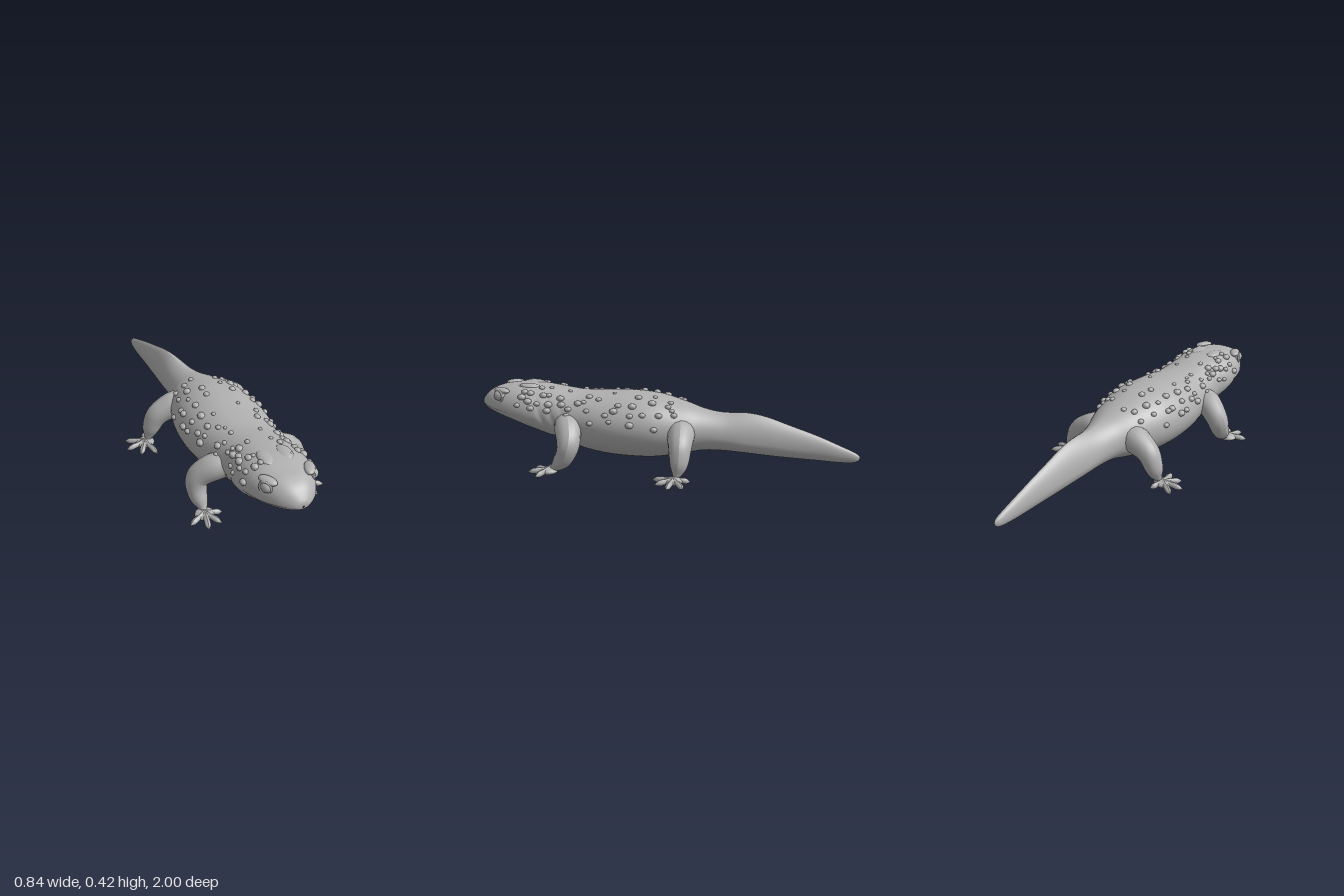
import * as THREE from 'three';
import { mergeGeometries } from 'three/addons/utils/BufferGeometryUtils.js';

// Body cross-sections, snout to tail tip: z, bottom, top, half width, widest height, upper roundness
const ROWS = [
  [1.0, 0.297, 0.306, 0.004, 0.301, 1],
  [0.992, 0.283, 0.33, 0.04, 0.3, 0.9],
  [0.95, 0.262, 0.37, 0.09, 0.296, 0.8],
  [0.9, 0.245, 0.392, 0.125, 0.291, 0.72],
  [0.84, 0.225, 0.403, 0.155, 0.286, 0.7],
  [0.76, 0.197, 0.413, 0.177, 0.282, 0.75],
  [0.68, 0.168, 0.41, 0.181, 0.275, 0.8],
  [0.58, 0.13, 0.4, 0.172, 0.26, 0.85],
  [0.46, 0.088, 0.385, 0.187, 0.24, 0.9],
  [0.32, 0.062, 0.388, 0.213, 0.23, 0.92],
  [0.18, 0.053, 0.393, 0.221, 0.225, 0.95],
  [0.04, 0.056, 0.383, 0.205, 0.22, 0.97],
  [-0.1, 0.08, 0.348, 0.158, 0.21, 1],
  [-0.2, 0.1, 0.318, 0.115, 0.2, 1.1],
  [-0.3, 0.102, 0.303, 0.092, 0.185, 1.3],
  [-0.42, 0.094, 0.305, 0.077, 0.165, 1.5],
  [-0.52, 0.085, 0.288, 0.064, 0.155, 1.5],
  [-0.64, 0.077, 0.248, 0.049, 0.14, 1.4],
  [-0.78, 0.07, 0.2, 0.034, 0.125, 1.3],
  [-0.9, 0.065, 0.152, 0.024, 0.105, 1.1],
  [-0.975, 0.07, 0.12, 0.015, 0.095, 1],
  [-1.0, 0.09, 0.1, 0.002, 0.095, 1],
];

// Smooth interpolation of one column through a list of numbers
function spline(values, u) {
  const n = values.length - 1;
  const i = Math.min(n - 1, Math.floor(u * n));
  const t = u * n - i;
  const [a, b, c, d] = [-1, 0, 1, 2].map((k) => values[Math.max(0, Math.min(n, i + k))]);
  return b + 0.5 * t * (c - a + t * (2 * a - 5 * b + 4 * c - d + t * (3 * (b - c) + d - a)));
}
const columns = [0, 1, 2, 3, 4, 5].map((c) => ROWS.map((r) => r[c]));

// Point on the skin; angle 0 is the left side, 90 degrees the back
function skinPoint(u, angle) {
  const [z, bottom, top, half, mid, power] = columns.map((c) => spline(c, u));
  const c = Math.cos(angle), s = Math.sin(angle);
  const upper = s > -1e-6;
  let x = Math.sign(c) * half * Math.pow(Math.abs(c), upper ? power : 0.95);
  let y = mid + s * (upper ? top - mid : mid - bottom);
  // the lower jaw sits inside the upper lip
  if (!upper && z > 0.72) x *= 1 - 0.07 * Math.min(1, (z - 0.72) / 0.1);
  // skin folds around the throat and belly
  let fold = 0;
  for (const f of [0.63, 0.57, 0.5]) fold += Math.exp(-(((z - f - 0.05 * s) / 0.014) ** 2));
  const k = 1 - 0.03 * fold * (1 - Math.max(0, s));
  x *= k;
  y = mid + (y - mid) * k;
  // the tail bends slightly to the right
  if (z < -0.2) x -= 0.02 * Math.min(1, (-0.2 - z) / 0.6);
  return new THREE.Vector3(x, y, z);
}

function bodyGeometry(rings = 190, sides = 48) {
  const pos = [], index = [];
  for (let i = 0; i <= rings; i++)
    for (let j = 0; j < sides; j++) pos.push(...skinPoint(i / rings, (j / sides) * Math.PI * 2).toArray());
  for (let i = 0; i < rings; i++)
    for (let j = 0; j < sides; j++) {
      const a = i * sides + j, b = i * sides + ((j + 1) % sides);
      index.push(a, a + sides, b, b, a + sides, b + sides);
    }
  const g = new THREE.BufferGeometry();
  g.setAttribute('position', new THREE.Float32BufferAttribute(pos, 3));
  g.setIndex(index);
  g.computeVertexNormals();
  return g;
}

// Tube along points whose radius follows a list; a zero radius closes the end
function limbGeometry(points, radii, steps = 28, sides = 16) {
  const curve = new THREE.CatmullRomCurve3(points.map((p) => new THREE.Vector3(...p)));
  const g = new THREE.TubeGeometry(curve, steps, 1, sides, false);
  const pos = g.attributes.position, v = new THREE.Vector3();
  for (let i = 0; i <= steps; i++) {
    const centre = curve.getPointAt(i / steps);
    const r = Math.max(0.0005, spline(radii, i / steps));
    for (let j = 0; j <= sides; j++) {
      const n = i * (sides + 1) + j;
      v.fromBufferAttribute(pos, n).sub(centre).multiplyScalar(r).add(centre);
      pos.setXYZ(n, v.x, Math.max(0, v.y), v.z);
    }
  }
  g.computeVertexNormals();
  return g;
}

function ball(x, y, z, sx, sy, sz, detail = 16) {
  return new THREE.SphereGeometry(1, detail, detail / 2 + 2).scale(sx, sy, sz).translate(x, y, z);
}

export function createModel() {
  const model = new THREE.Group();
  const skin = new THREE.MeshStandardMaterial({ color: 0xb0b0b0 });
  skin.name = 'grey skin';
  const add = (name, geometry, parent = model) => {
    const m = new THREE.Mesh(geometry, skin);
    m.name = name;
    parent.add(m);
  };

  add('body', bodyGeometry());

  // Legs with flat palms and spread toes
  const legs = {
    front: {
      path: [[0.12, 0.24, 0.51], [0.2, 0.215, 0.475], [0.262, 0.16, 0.455], [0.272, 0.095, 0.475], [0.268, 0.045, 0.52], [0.27, 0.018, 0.56]],
      radii: [0.06, 0.068, 0.062, 0.053, 0.04, 0.008],
      palm: [0.272, 0.557],
      toes: [[0.185, 0.572], [0.222, 0.647], [0.297, 0.663], [0.367, 0.6]],
    },
    hind: {
      path: [[0.06, 0.22, -0.09], [0.15, 0.205, -0.105], [0.225, 0.165, -0.115], [0.262, 0.1, -0.118], [0.282, 0.05, -0.112], [0.3, 0.018, -0.1]],
      radii: [0.06, 0.072, 0.064, 0.055, 0.042, 0.008],
      palm: [0.308, -0.1],
      toes: [[0.285, 0.013], [0.365, -0.015], [0.42, -0.085], [0.4, -0.165], [0.285, -0.18]],
    },
  };
  for (const side of [1, -1])
    for (const [name, { path, radii, palm, toes }] of Object.entries(legs)) {
      const leg = new THREE.Group();
      leg.name = `${name}Leg${side > 0 ? 'Left' : 'Right'}`;
      model.add(leg);
      add('limb', limbGeometry(path.map(([x, y, z]) => [x * side, y, z]), radii), leg);
      add('palm', ball(palm[0] * side, 0.019, palm[1], 0.05, 0.019, 0.045), leg);
      for (const [x, z] of toes) {
        const mx = (palm[0] + x) / 2, mz = (palm[1] + z) / 2;
        add('toe', limbGeometry(
          [[palm[0] * side, 0.02, palm[1]], [mx * side, 0.02, mz], [x * side, 0.011, z]],
          [0.022, 0.018, 0.014, 0.015, 0.013, 0.001], 14, 10), leg);
      }
    }

  // Eyes, brows and nostrils
  for (const side of [1, -1]) {
    const tag = side > 0 ? 'Left' : 'Right';
    add('eye' + tag, ball(side * 0.117, 0.362, 0.868, 0.027, 0.029, 0.033, 20));
    add('brow' + tag, ball(0, 0, 0, 0.027, 0.016, 0.05, 18).rotateY(side * -0.45).translate(side * 0.106, 0.386, 0.86));
    add('lowerLid' + tag, new THREE.TorusGeometry(0.03, 0.006, 8, 24).rotateY(side * 1.0).translate(side * 0.125, 0.36, 0.872));
    add('nostril' + tag, new THREE.TorusGeometry(0.005, 0.0025, 6, 12).rotateX(-0.6).translate(side * 0.048, 0.333, 0.969));
  }

  // Warts in loose rows over the back and flanks
  let seed = 7;
  const rnd = () => (seed = (seed * 16807) % 2147483647) / 2147483647;
  const warts = [];
  for (const side of [1, -1])
    for (const [degrees, count] of [[14, 9], [34, 13], [52, 13], [72, 9]])
      for (let i = 0; i < count; i++) {
        const u = 0.24 + (0.34 * (i + rnd() * 0.8)) / count;
        const angle = ((degrees + (rnd() - 0.5) * 14) * Math.PI) / 180;
        const p = skinPoint(u, side > 0 ? angle : Math.PI - angle);
        const r = (degrees > 60 ? 0.009 : 0.012) + rnd() * 0.008;
        warts.push(ball(p.x, p.y, p.z, r, r * 0.85, r * 1.15, 10));
      }
  add('warts', mergeGeometries(warts));

  // Low swellings on the back of the head
  for (const side of [1, -1]) add('crownSwelling', ball(side * 0.05, 0.403, 0.73, 0.035, 0.016, 0.06));

  return model;
}
